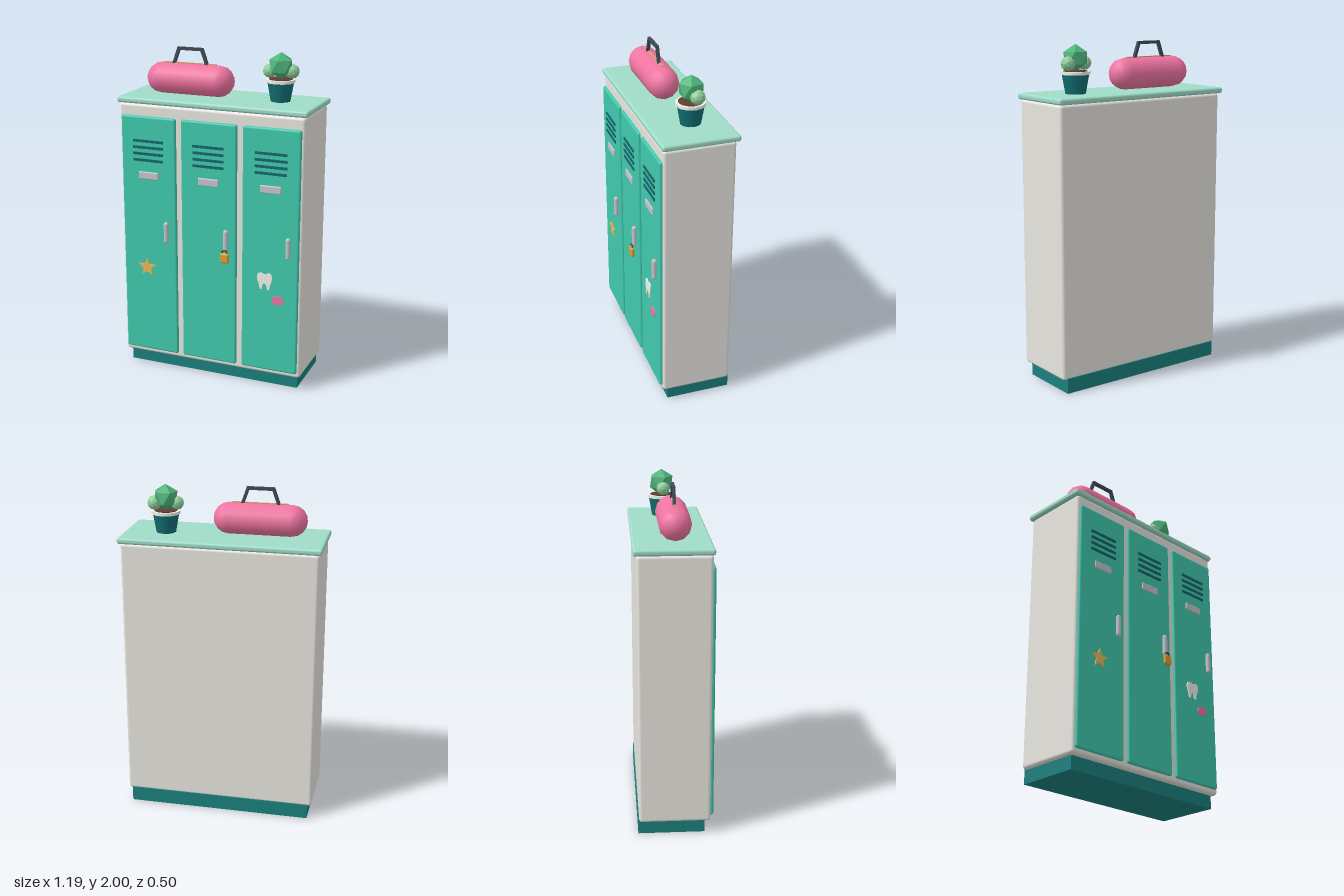
import * as THREE from 'three';
import { RoundedBoxGeometry } from 'three/addons/geometries/RoundedBoxGeometry.js';

const paint = (color, extra = {}) => new THREE.MeshStandardMaterial({ color, ...extra });
const M = {
  shell: paint(0xe8e6e0), mint: paint(0xa0dcc9), door: paint(0x40c9ad), teal: paint(0x1a807d),
  slot: paint(0x14666a), metal: paint(0xc4c6ca), gold: paint(0xdda034), star: paint(0xe8b85a),
  white: paint(0xf4f1ea), pink: paint(0xf075a2), slate: paint(0x3d4b59, { flatShading: true }),
  zip: paint(0xe0a070), pot: paint(0x127074), soil: paint(0x5a4030),
  leaf: paint(0x4fb57c, { flatShading: true }), paleLeaf: paint(0x8fcf9c, { flatShading: true }),
};

export function createModel() {
  const root = new THREE.Group();
  root.name = 'lockers';

  function add(name, geometry, material, x, y, z, parent = root) {
    const mesh = new THREE.Mesh(geometry, material);
    mesh.name = name;
    mesh.position.set(x, y, z);
    parent.add(mesh);
    return mesh;
  }
  const rounded = (w, h, d, r) => new RoundedBoxGeometry(w, h, d, 3, r);
  const plate = (shape, depth) => new THREE.ExtrudeGeometry(shape, { depth, bevelEnabled: false, curveSegments: 8 });

  // Cabinet
  add('plinth', new THREE.BoxGeometry(1.11, 0.09, 0.39), M.teal, 0, 0.045, -0.04);
  add('cabinet', rounded(1.16, 1.6, 0.42, 0.018), M.shell, 0, 0.88, -0.02);
  add('worktop', rounded(1.19, 0.036, 0.45, 0.014), M.mint, 0, 1.699, -0.025);

  // Three doors with vents, label holder and handle
  [-0.389, -0.002, 0.387].forEach((x, i) => {
    const door = new THREE.Group();
    door.name = 'door' + (i + 1);
    door.position.x = x;
    root.add(door);
    add('doorPanel', rounded(0.352, 1.5, 0.03, 0.012), M.door, 0, 0.86, 0.192, door);
    for (let k = 0; k < 4; k++) {
      add('ventSlot', new THREE.BoxGeometry(0.195, 0.015, 0.012), M.slot, 0, 1.462 - k * 0.039, 0.207, door);
    }
    add('labelHolder', rounded(0.13, 0.046, 0.014, 0.006), M.metal, 0, 1.251, 0.208, door);
    add('handle', new THREE.CapsuleGeometry(0.015, 0.105, 4, 10), M.metal, 0.115, 0.908, 0.219, door);
  });

  // Padlock hanging from the middle handle
  const lock = new THREE.Group();
  lock.name = 'padlock';
  lock.position.set(0.113, 0.805, 0.237);
  root.add(lock);
  add('lockBody', rounded(0.056, 0.062, 0.024, 0.011), M.gold, 0, 0, 0, lock);
  add('shackle', new THREE.TorusGeometry(0.016, 0.005, 6, 12, Math.PI), M.slate, 0, 0.032, 0, lock);

  // Star sticker
  const star = new THREE.Shape();
  for (let i = 0; i < 10; i++) {
    const a = Math.PI / 2 + i * Math.PI / 5, r = i % 2 ? 0.027 : 0.061;
    star[i ? 'lineTo' : 'moveTo'](r * Math.cos(a), r * Math.sin(a));
  }
  star.closePath();
  add('starSticker', plate(star, 0.008), M.star, -0.41, 0.665, 0.206);

  // Tooth sticker with two roots
  const tooth = new THREE.Shape();
  tooth.moveTo(0, 0.042);
  tooth.bezierCurveTo(0.02, 0.056, 0.047, 0.06, 0.047, 0.025);
  tooth.bezierCurveTo(0.047, 0, 0.035, -0.01, 0.032, -0.035);
  tooth.bezierCurveTo(0.03, -0.058, 0.018, -0.058, 0.014, -0.035);
  tooth.bezierCurveTo(0.01, -0.005, -0.01, -0.005, -0.014, -0.035);
  tooth.bezierCurveTo(-0.018, -0.058, -0.03, -0.058, -0.032, -0.035);
  tooth.bezierCurveTo(-0.035, -0.01, -0.047, 0, -0.047, 0.025);
  tooth.bezierCurveTo(-0.047, 0.06, -0.02, 0.056, 0, 0.042);
  add('toothSticker', plate(tooth, 0.008), M.white, 0.358, 0.685, 0.206);

  // Oval sticker
  const oval = new THREE.Shape().absellipse(0, 0, 0.038, 0.027, 0, Math.PI * 2);
  add('ovalSticker', plate(oval, 0.008), M.pink, 0.44, 0.574, 0.206);

  // Duffel bag: a capsule on its side, zip and angular handle
  const bag = new THREE.Group();
  bag.name = 'duffelBag';
  bag.position.set(-0.204, 1.811, -0.008);
  root.add(bag);
  add('bagBody', new THREE.CapsuleGeometry(0.094, 0.362, 4, 12), M.pink, 0, 0, 0, bag).rotation.z = Math.PI / 2;
  add('zip', new THREE.BoxGeometry(0.333, 0.012, 0.012), M.zip, 0, 0.092, 0, bag);
  const corners = [[-0.105, 0.092], [-0.074, 0.18], [0.074, 0.18], [0.105, 0.092]];
  for (let i = 0; i < 3; i++) {
    const [ax, ay] = corners[i], [bx, by] = corners[i + 1];
    const length = Math.hypot(bx - ax, by - ay) + 0.014;
    const bar = add('bagHandle', new THREE.BoxGeometry(length, 0.018, 0.018), M.slate, (ax + bx) / 2, (ay + by) / 2, 0, bag);
    bar.rotation.z = Math.atan2(by - ay, bx - ax);
  }

  // Potted plant
  const plant = new THREE.Group();
  plant.name = 'pottedPlant';
  plant.position.set(0.351, 1.717, -0.042);
  root.add(plant);
  add('pot', new THREE.CylinderGeometry(0.08, 0.059, 0.118, 12), M.pot, 0, 0.059, 0, plant);
  add('potRim', new THREE.CylinderGeometry(0.086, 0.086, 0.018, 12), M.white, 0, 0.119, 0, plant);
  add('soil', new THREE.CylinderGeometry(0.07, 0.07, 0.006, 12), M.soil, 0, 0.129, 0, plant);
  // turn the solid so that one corner points up
  const tip = new THREE.Vector3(0, 1, (1 + Math.sqrt(5)) / 2).normalize();
  const upright = new THREE.Quaternion().setFromUnitVectors(tip, new THREE.Vector3(0, 1, 0));
  add('mainLeafBall', new THREE.IcosahedronGeometry(0.078, 0), M.leaf, 0, 0.205, -0.002, plant).quaternion.copy(upright);
  [[-0.066, 0.173, 0.006, 0.041], [0.062, 0.174, -0.018, 0.043]].forEach(([x, y, z, r]) => {
    add('smallLeafBall', new THREE.IcosahedronGeometry(r, 1), M.paleLeaf, x, y, z, plant);
  });

  return root;
}
